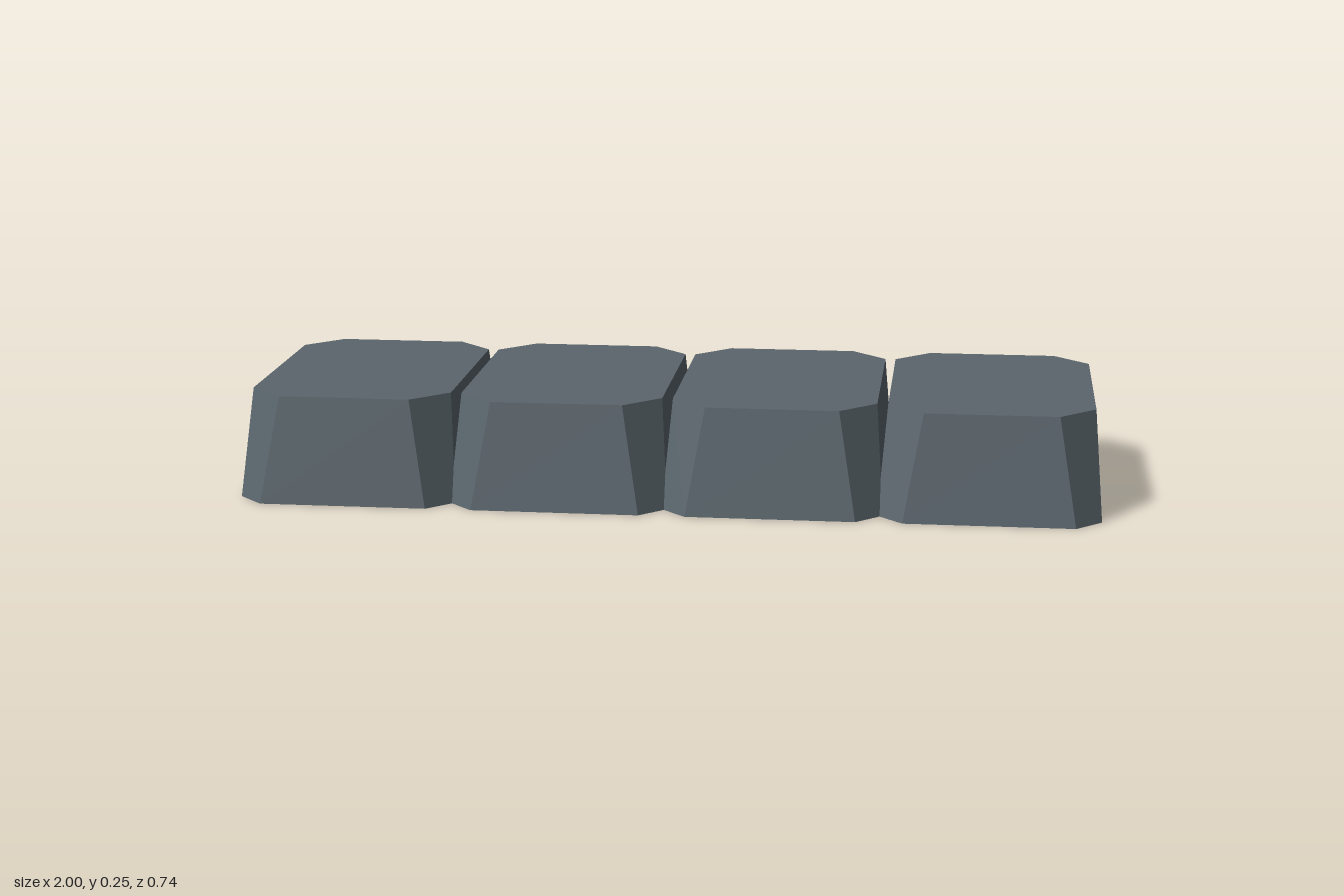
import * as THREE from 'three';
import { ConvexGeometry } from 'three/addons/geometries/ConvexGeometry.js';

// Rectangle with cut corners at height y
function octagon(hx, hz, cut, y) {
  const points = [];
  for (const sx of [-1, 1]) {
    for (const sz of [-1, 1]) {
      points.push(new THREE.Vector3(sx * (hx - cut), y, sz * hz));
      points.push(new THREE.Vector3(sx * hx, y, sz * (hz - cut)));
    }
  }
  return points;
}

export function createModel() {
  const model = new THREE.Group();
  model.name = 'blockRow';
  const stone = new THREE.MeshStandardMaterial({ color: 0x5a656c });
  stone.name = 'slate grey';

  // Tapered block with chamfered corners
  const geometry = new ConvexGeometry([
    ...octagon(0.255, 0.37, 0.06, 0),
    ...octagon(0.236, 0.324, 0.083, 0.247),
  ]);

  // Four blocks side by side, touching at the base
  const pitch = 0.4967;
  for (let i = 0; i < 4; i++) {
    const block = new THREE.Mesh(geometry, stone);
    block.name = `block${i + 1}`;
    block.position.x = (i - 1.5) * pitch;
    model.add(block);
  }
  return model;
}
